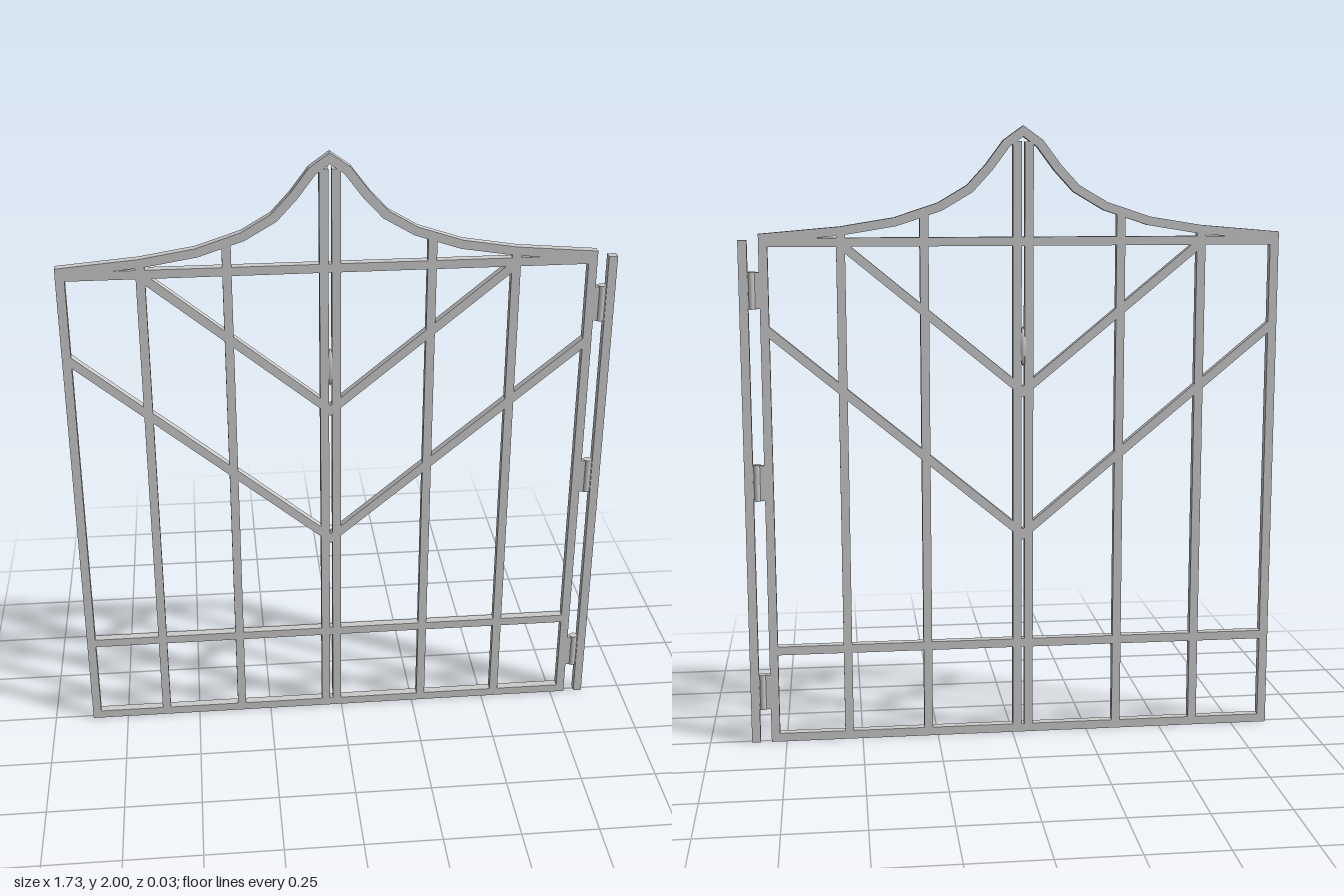
import * as THREE from 'three';

const T = 0.028;          // bar thickness and gate depth
const H = T / 2;
const CENTER = -0.035;    // meeting line of the two leaves
const material = new THREE.MeshStandardMaterial({ color: 0xcccccc });

function addMesh(parent, name, geometry, x = 0, y = 0, z = 0) {
  const mesh = new THREE.Mesh(geometry, material);
  mesh.name = name;
  mesh.position.set(x, y, z);
  parent.add(mesh);
  return mesh;
}

// Box given by its x and y limits
function bar(parent, name, x0, x1, y0, y1, depth = T) {
  const geometry = new THREE.BoxGeometry(Math.abs(x1 - x0), y1 - y0, depth);
  return addMesh(parent, name, geometry, (x0 + x1) / 2, (y0 + y1) / 2);
}

// Flat strip along a centreline, mitred at the bends, with vertical end cuts
function strip(parent, name, points, side) {
  const upper = [], lower = [];
  const last = points.length - 1;
  const dirs = points.slice(1).map((p, i) => p.clone().sub(points[i]).normalize());
  points.forEach((p, i) => {
    const before = dirs[Math.max(i - 1, 0)];
    const normal = new THREE.Vector2(-before.y, before.x);
    let offset = new THREE.Vector2(0, H / before.x);
    if (i > 0 && i < last) {
      const after = dirs[i];
      offset = normal.clone().add(new THREE.Vector2(-after.y, after.x)).normalize();
      offset.multiplyScalar(H / offset.dot(normal));
    }
    upper.push(p.clone().add(offset));
    lower.push(p.clone().sub(offset));
  });
  const outline = [...upper, ...lower.reverse()].map((p) => new THREE.Vector2(p.x * side, p.y));
  const geometry = new THREE.ExtrudeGeometry(new THREE.Shape(outline), { depth: T, bevelEnabled: false });
  geometry.translate(0, 0, -H);
  return addMesh(parent, name, geometry);
}

const v = (x, y) => new THREE.Vector2(x, y);

// One leaf, measured outward from the meeting line
function createLeaf(side) {
  const leaf = new THREE.Group();
  leaf.name = side > 0 ? 'leftLeaf' : 'rightLeaf';
  const upright = (name, d, top) => bar(leaf, name, side * d - H, side * d + H, 0, top);
  upright('outerStile', 0.821, 1.655);
  upright('outerBar', 0.579, 1.672);
  upright('innerBar', 0.316, 1.73);
  upright('meetingStile', 0.019, 1.95);

  const rail = (name, y) => bar(leaf, name, 0, side * 0.835, y - H, y + H);
  rail('bottomRail', H);
  rail('middleRail', 0.31);
  rail('topRail', 1.637);

  // Chevron braces
  strip(leaf, 'lowerBrace', [v(0, 0.68), v(0.815, 1.36)], side);
  strip(leaf, 'upperBrace', [v(0, 1.153), v(0.59, 1.64)], side);

  // Sweeping crest rising to the central peak
  strip(leaf, 'crest', [
    v(0, 1.982), v(0.053, 1.944), v(0.11, 1.868), v(0.17, 1.803),
    v(0.265, 1.747), v(0.407, 1.7), v(0.579, 1.672), v(0.835, 1.65),
  ], side);
  leaf.position.x = CENTER;
  return leaf;
}

export function createModel() {
  const gate = new THREE.Group();
  gate.name = 'gate';
  gate.add(createLeaf(1), createLeaf(-1));

  // Hinge post and its three hinges
  bar(gate, 'hingePost', 0.836, 0.864, 0, 1.645);
  for (const y of [0.17, 0.87, 1.487]) {
    const hinge = new THREE.Group();
    hinge.name = 'hinge';
    bar(hinge, 'hingePlate', 0.798, 0.838, y - 0.057, y + 0.057, 0.02);
    addMesh(hinge, 'hingeBarrel', new THREE.CylinderGeometry(0.014, 0.014, 0.118, 16), 0.824, y);
    gate.add(hinge);
  }

  // Slim spindle-shaped latch on the meeting line
  const profile = [v(0, -0.065), v(0.007, -0.05), v(0.016, -0.025), v(0.016, 0.025), v(0.007, 0.05), v(0, 0.065)];
  addMesh(gate, 'latch', new THREE.LatheGeometry(profile, 16), CENTER, 1.3, -0.001);
  return gate;
}
